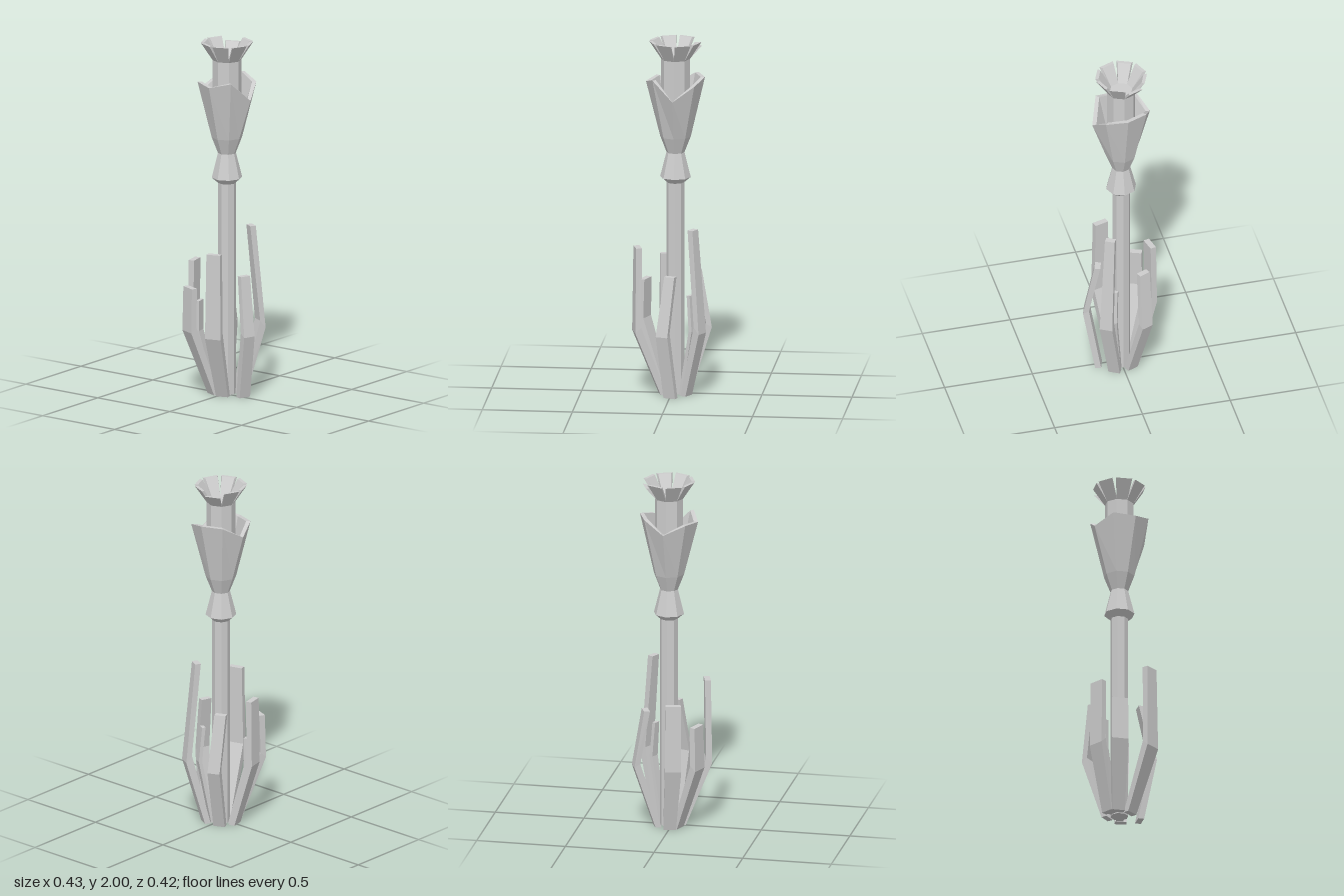
import * as THREE from 'three';

const material = new THREE.MeshStandardMaterial({ color: 0xcccccc, flatShading: true });

function addMesh(parent, geometry, name) {
  const mesh = new THREE.Mesh(geometry, material);
  mesh.name = name;
  parent.add(mesh);
  return mesh;
}

// Lofted bar: each section gives its outer mid-point [x, y, z], width and a lift of the inner edge
function bar(sections, degrees, thickness, innerRatio = 1) {
  const a = THREE.MathUtils.degToRad(degrees);
  const nx = Math.cos(a), nz = Math.sin(a);
  const pos = [], index = [];
  for (const [x, y, z, w, lift = 0] of sections) {
    for (const [d, s] of [[0, -1], [0, 1], [1, 1], [1, -1]]) {
      const h = s * w / 2 * (d ? innerRatio : 1);
      pos.push(x - nx * thickness * d - nz * h, y + lift * d, z - nz * thickness * d + nx * h);
    }
  }
  for (let k = 0; k < sections.length - 1; k++) {
    for (let j = 0; j < 4; j++) {
      const p = k * 4 + j, q = k * 4 + (j + 1) % 4;
      index.push(q, p, p + 4, q, p + 4, q + 4);
    }
  }
  const t = sections.length * 4 - 4;
  index.push(0, 1, 2, 0, 2, 3, t + 3, t + 2, t + 1, t + 3, t + 1, t);
  const g = new THREE.BufferGeometry();
  g.setAttribute('position', new THREE.Float32BufferAttribute(pos, 3));
  g.setIndex(index);
  const flat = g.toNonIndexed();
  flat.computeVertexNormals();
  return flat;
}

// Octagonal cup with a waist below and an uneven rim
function cupGeometry() {
  const profile = [[0, 1.2], [0.05, 1.2], [0.085, 1.23], [0.05, 1.37], [0.085, 1.46],
    [0.164, 1.8], [0.14, 1.8], [0.065, 1.48], [0, 1.48]].map(p => new THREE.Vector2(...p));
  const rim = [1.69, 1.77, 1.8, 1.8, 1.73, 1.78, 1.77, 1.8];
  const g = new THREE.LatheGeometry(profile, 8);
  const pos = g.attributes.position;
  for (let i = 0; i <= 8; i++) {
    for (const j of [5, 6]) pos.setY(i * profile.length + j, rim[i % 8]);
  }
  const flat = g.toNonIndexed();
  flat.computeVertexNormals();
  return flat;
}

export function createModel() {
  const model = new THREE.Group();
  model.name = 'flower';

  // Stem and bloom share one axis
  const bloom = new THREE.Group();
  bloom.name = 'bloom';
  bloom.position.x = 0.02;
  model.add(bloom);
  addMesh(bloom, new THREE.CylinderGeometry(0.05, 0.05, 1.22, 8), 'stem').position.y = 0.61;
  addMesh(bloom, cupGeometry(), 'cup');
  addMesh(bloom, new THREE.CylinderGeometry(0.08, 0.08, 0.44, 8), 'tube').position.y = 1.685;

  // Crown of eight flared petals, one on each side of the tube
  for (let i = 0; i < 8; i++) {
    const deg = 22.5 + i * 45, a = THREE.MathUtils.degToRad(deg);
    const at = (r, y, w) => [r * Math.cos(a), y, r * Math.sin(a), w];
    const top = i === 7 ? 1.975 : 2;
    addMesh(bloom, bar([at(0.074, 1.9, 0.061), at(0.138, top, 0.092)], deg, 0.018, 0.82), 'petal');
  }

  // Leaves: facing angle, then base, knee and tip sections [x, y, z, width, inner lift]
  const leaves = [
    [29, [0.1, 0, 0.06, 0.065], [0.182, 0.37, 0.127, 0.072, 0.04], [0.14, 0.95, 0.095, 0.055]],
    [-24, [0.092, 0, -0.05, 0.065], [0.2, 0.36, -0.106, 0.07, 0.02], [0.145, 0.69, -0.105, 0.065]],
    [108, [0, 0, 0.14, 0.07], [-0.037, 0.36, 0.2, 0.07, 0.02], [0, 0.69, 0.145, 0.06]],
    [163, [-0.065, 0, 0.03, 0.07], [-0.204, 0.36, 0.073, 0.092, 0.03], [-0.198, 0.84, 0.071, 0.08]],
    [201, [-0.055, 0, -0.055, 0.07], [-0.18, 0.37, -0.126, 0.094, 0.03], [-0.175, 0.62, -0.124, 0.09]],
    [257, [-0.005, 0, -0.1, 0.07], [-0.045, 0.37, -0.2, 0.09, 0.03], [-0.044, 0.75, -0.195, 0.085]],
  ];
  for (const [deg, ...sections] of leaves) addMesh(model, bar(sections, deg, 0.033), 'leaf');

  // Short inner leaves
  const innerLeaves = [
    [29, [0.07, 0, 0.035, 0.04], [0.13, 0.37, 0.075, 0.045], [0.115, 0.57, 0.062, 0.035]],
    [257, [-0.005, 0, -0.07, 0.05], [-0.042, 0.35, -0.155, 0.06], [-0.042, 0.52, -0.155, 0.06]],
  ];
  for (const [deg, ...sections] of innerLeaves) addMesh(model, bar(sections, deg, 0.02), 'innerLeaf');

  return model;
}
